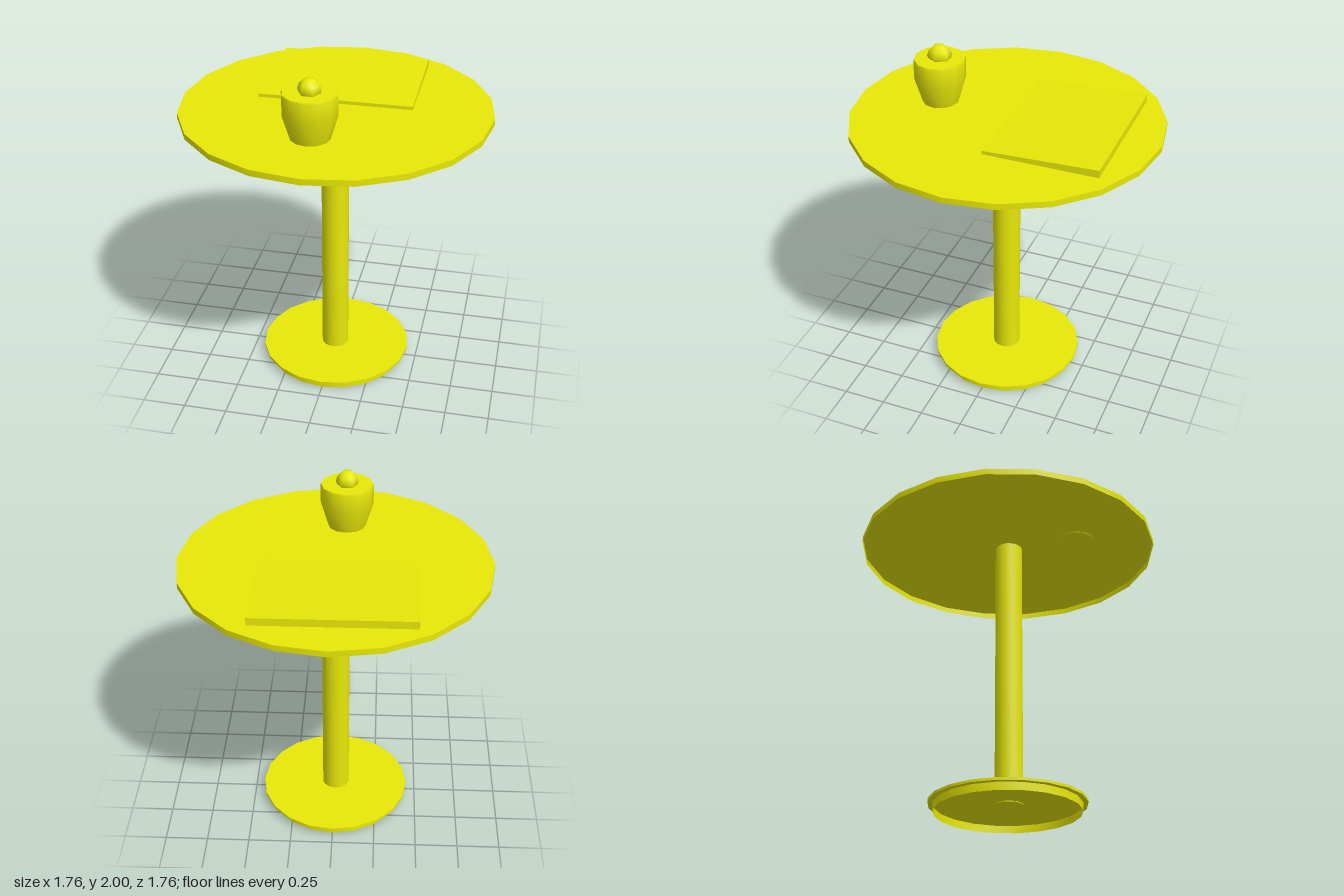
import * as THREE from 'three';
import { toCreasedNormals } from 'three/addons/utils/BufferGeometryUtils.js';

const material = new THREE.MeshStandardMaterial({ color: 0xe8e808, side: THREE.DoubleSide });

export function createModel() {
  const group = new THREE.Group();

  const add = (name, geometry, x = 0, y = 0, z = 0) => {
    const mesh = new THREE.Mesh(geometry, material);
    mesh.name = name;
    mesh.position.set(x, y, z);
    group.add(mesh);
    return mesh;
  };

  // Turned part from [radius, height] points, smooth around but sharp at rims
  const turned = (name, profile, sides, x = 0, z = 0) => {
    const points = profile.map(([r, y]) => new THREE.Vector2(r, y));
    return add(name, toCreasedNormals(new THREE.LatheGeometry(points, sides), 0.7), x, 0, z);
  };

  // Pedestal: hollow foot under a thin plate, carrying the post
  turned('baseFoot', [[0.415, 0], [0.415, 0.045]], 20);
  turned('basePlate', [[0, 0.044], [0.445, 0.044], [0.445, 0.059], [0, 0.059]], 20);
  turned('post', [[0, 0.04], [0.08, 0.04], [0.08, 1.656]], 20, -0.004, 0.006);

  // Table top: thin sheet with a turned-down rim, open below
  turned('tableTop', [[0.881, 1.624], [0.881, 1.659], [0, 1.659]], 20);

  // Flat case on the table: a wedge, thicker at the back
  const caseGeometry = new THREE.BoxGeometry(0.88, 0.03, 0.645);
  const p = caseGeometry.attributes.position;
  for (let i = 0; i < p.count; i++) {
    if (p.getY(i) > 0) p.setY(i, p.getZ(i) > 0 ? 0.005 : 0.029);
  }
  caseGeometry.computeVertexNormals();
  add('flatCase', caseGeometry, -0.014, 1.675, -0.346);

  // Tapered cup with a closed top, its foot set just into the table top
  const cx = -0.051, cz = 0.425;
  const cup = turned('cup', [
    [0, 1.655], [0.108, 1.655], [0.152, 1.8], [0.153, 1.91], [0.15, 1.92], [0, 1.92],
  ], 12, cx, cz);
  cup.scale.z = 0.95;

  // Faceted knob on the cup
  const knob = add('cupKnob', new THREE.SphereGeometry(0.065, 6, 6), cx, 1.937, cz);
  knob.scale.set(1, 0.97, 1.08);

  return group;
}
